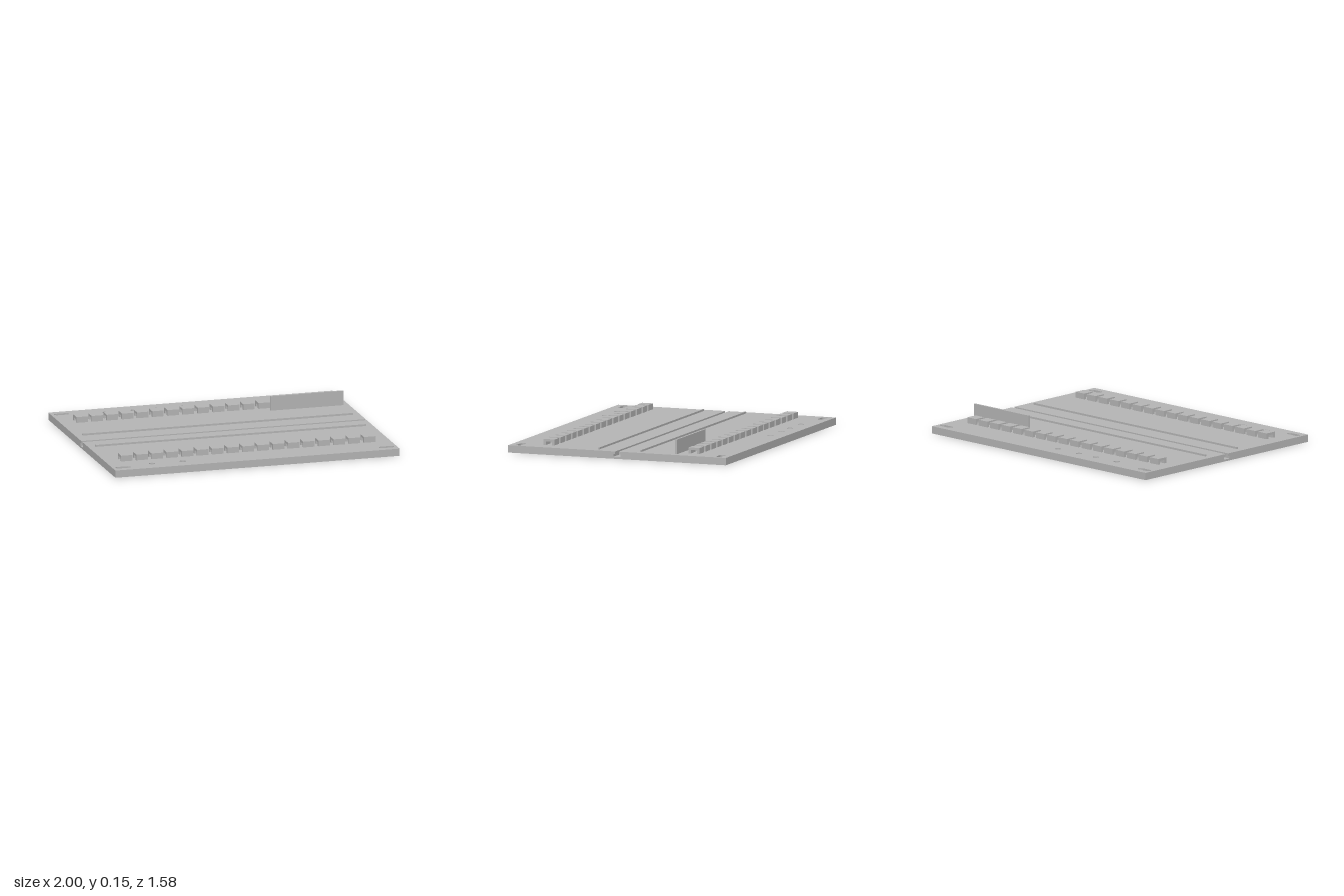
import * as THREE from 'three';

export function createModel() {
  const model = new THREE.Group();
  model.name = 'mountingPlate';
  const grey = new THREE.MeshStandardMaterial({ color: 0xb4b4b4 });
  grey.name = 'grey';

  const HALF_X = 1, HALF_Z = 0.79, TOP = 0.05;
  const screwHoles = [
    [-0.628, -0.684], [-0.433, -0.684], [-0.275, -0.684], [-0.078, -0.684],
    [-0.711, 0.684], [-0.495, 0.684],
  ];
  const cornerSlots = [[-1, -1], [1, -1], [-1, 1], [1, 1]].map(([a, b]) => [a * 0.926, b * 0.724]);

  const add = (name, geometry, parent = model) => {
    const mesh = new THREE.Mesh(geometry, grey);
    mesh.name = name;
    parent.add(mesh);
    return mesh;
  };
  const addBox = (name, w, h, d, x, y, z, parent) =>
    add(name, new THREE.BoxGeometry(w, h, d), parent).position.set(x, y, z);

  // Hole outlines, drawn in plan with the shape's y pointing to -z
  const rect = (path, x0, y0, x1, y1) =>
    path.moveTo(x0, y0).lineTo(x1, y0).lineTo(x1, y1).lineTo(x0, y1).closePath();
  const roundHole = (x, z) => new THREE.Path().absarc(x, -z, 0.021, 0, Math.PI * 2, true);
  const squareHole = (x, z) => rect(new THREE.Path(), x - 0.022, -z - 0.022, x + 0.022, -z + 0.022);
  const slotHole = (x, z) => new THREE.Path()
    .absarc(x + 0.032, -z, 0.02, -Math.PI / 2, Math.PI / 2, false)
    .absarc(x - 0.032, -z, 0.02, Math.PI / 2, Math.PI * 1.5, false)
    .closePath();

  // One horizontal layer of the plate from z0 to z1, with its holes
  function addLayer(name, z0, z1, y0, y1, screwHole) {
    const shape = rect(new THREE.Shape(), -HALF_X, -z1, HALF_X, -z0);
    const inside = ([, z]) => z > z0 && z < z1;
    for (const p of screwHoles.filter(inside)) shape.holes.push(screwHole(...p));
    for (const p of cornerSlots.filter(inside)) shape.holes.push(slotHole(...p));
    const geometry = new THREE.ExtrudeGeometry(shape, { depth: y1 - y0, bevelEnabled: false, curveSegments: 16 });
    geometry.rotateX(-Math.PI / 2).translate(0, y0, 0);
    add(name, geometry);
  }

  // Base plate: closed floor, then two halves leaving a T-slot along the middle
  addLayer('plateFloor', -HALF_Z, HALF_Z, 0, 0.013, squareHole);
  for (const [side, s] of [['front', 1], ['back', -1]]) {
    const half = (name, inner, y0, y1, hole) =>
      addLayer(side + name, Math.min(s * inner, s * HALF_Z), Math.max(s * inner, s * HALF_Z), y0, y1, hole);
    half('PlateMiddle', 0.027, 0.013, 0.032, squareHole);
    half('PlateTop', 0.013, 0.032, TOP, roundHole);

    // Low rib beside the T-slot
    addBox(side + 'Rib', 1.9, 0.013, 0.012, 0, TOP + 0.0065, s * 0.153);
  }

  // Rows of small bridges with a cable tunnel running along x
  const bridge = rect(new THREE.Shape(), -0.04, 0, 0.04, 0.04);
  bridge.setFromPoints([[-0.04, 0], [-0.022, 0], [-0.022, 0.024], [0.022, 0.024], [0.022, 0],
    [0.04, 0], [0.04, 0.04], [-0.04, 0.04]].map(([x, y]) => new THREE.Vector2(x, y)));
  bridge.curves.splice(0, 4);
  const bridgeGeometry = new THREE.ExtrudeGeometry(bridge, { depth: 0.08, bevelEnabled: false });
  bridgeGeometry.translate(0, 0, -0.04).rotateY(Math.PI / 2);
  for (const [name, z] of [['frontBridges', 0.535], ['backBridges', -0.517]]) {
    const row = new THREE.Group();
    row.name = name;
    model.add(row);
    for (let i = 0; i < 17; i++) {
      add('bridge', bridgeGeometry, row).position.set(-0.855 + i * 0.1067, TOP, z);
    }
  }

  // Upright wall in front of the back row
  addBox('uprightWall', 0.514, 0.1, 0.014, 0.706, TOP + 0.05, -0.414);

  return model;
}
